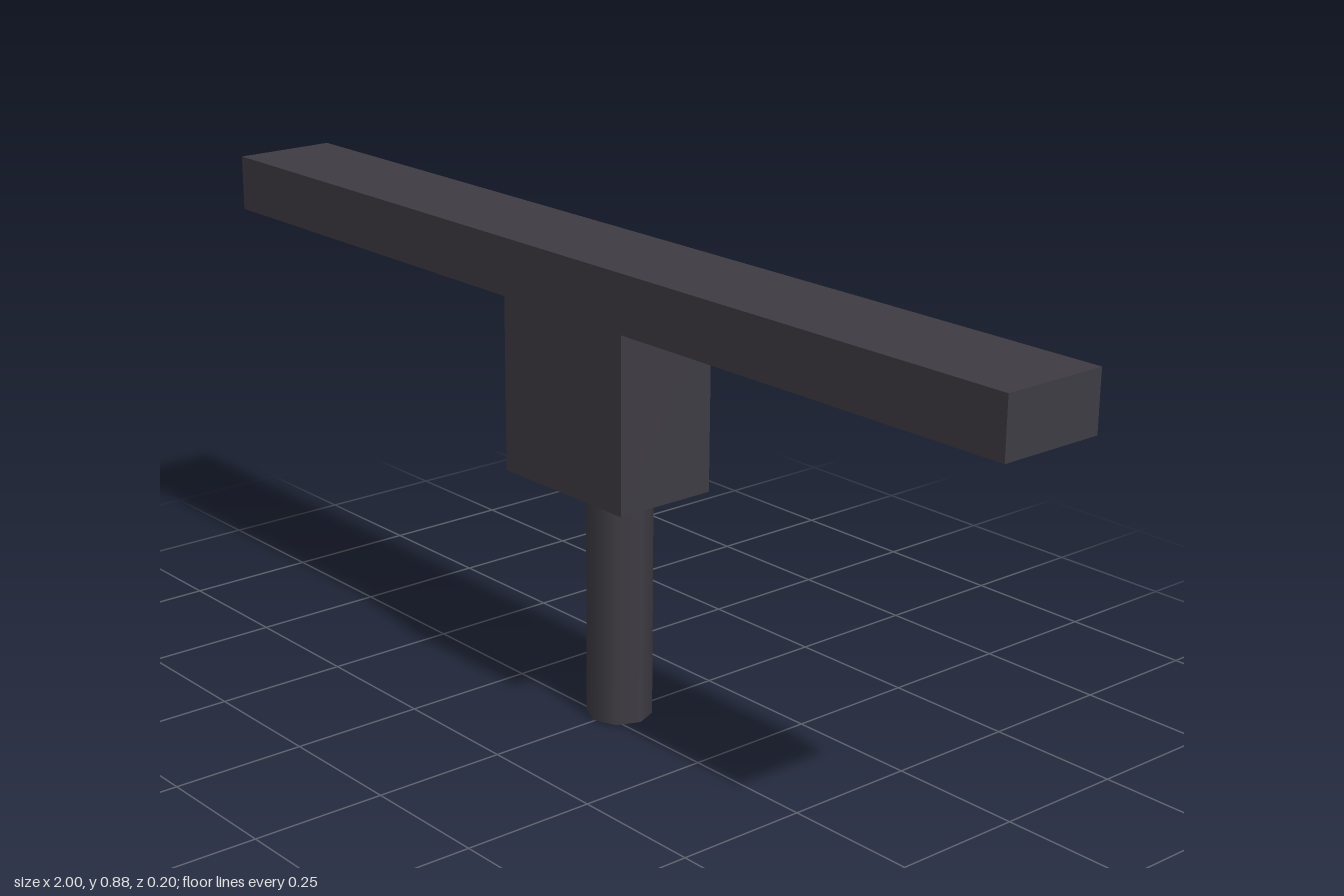
import * as THREE from 'three';

export function createModel() {
  const group = new THREE.Group();
  const charcoal = new THREE.MeshStandardMaterial({ color: 0x3e3c43 });
  charcoal.name = 'charcoal';

  // T-shaped head: long crossbar with a square block below its middle
  const barBottom = 0.775, top = 0.88, blockBottom = 0.455, half = 0.158, depth = 0.2;
  const outline = new THREE.Shape([
    [-1, top], [-1, barBottom], [-half, barBottom], [-half, blockBottom],
    [half, blockBottom], [half, barBottom], [1, barBottom], [1, top],
  ].map(([x, y]) => new THREE.Vector2(x, y)));
  const headGeometry = new THREE.ExtrudeGeometry(outline, { depth, bevelEnabled: false });
  headGeometry.translate(0, 0, -depth / 2);
  const head = new THREE.Mesh(headGeometry, charcoal);
  head.name = 'crossbarAndBlock';
  group.add(head);

  // Round peg, set slightly towards the back
  const peg = new THREE.Mesh(new THREE.CylinderGeometry(0.06, 0.06, blockBottom, 8), charcoal);
  peg.name = 'peg';
  peg.position.set(-0.002, blockBottom / 2, -0.032);
  group.add(peg);

  return group;
}
